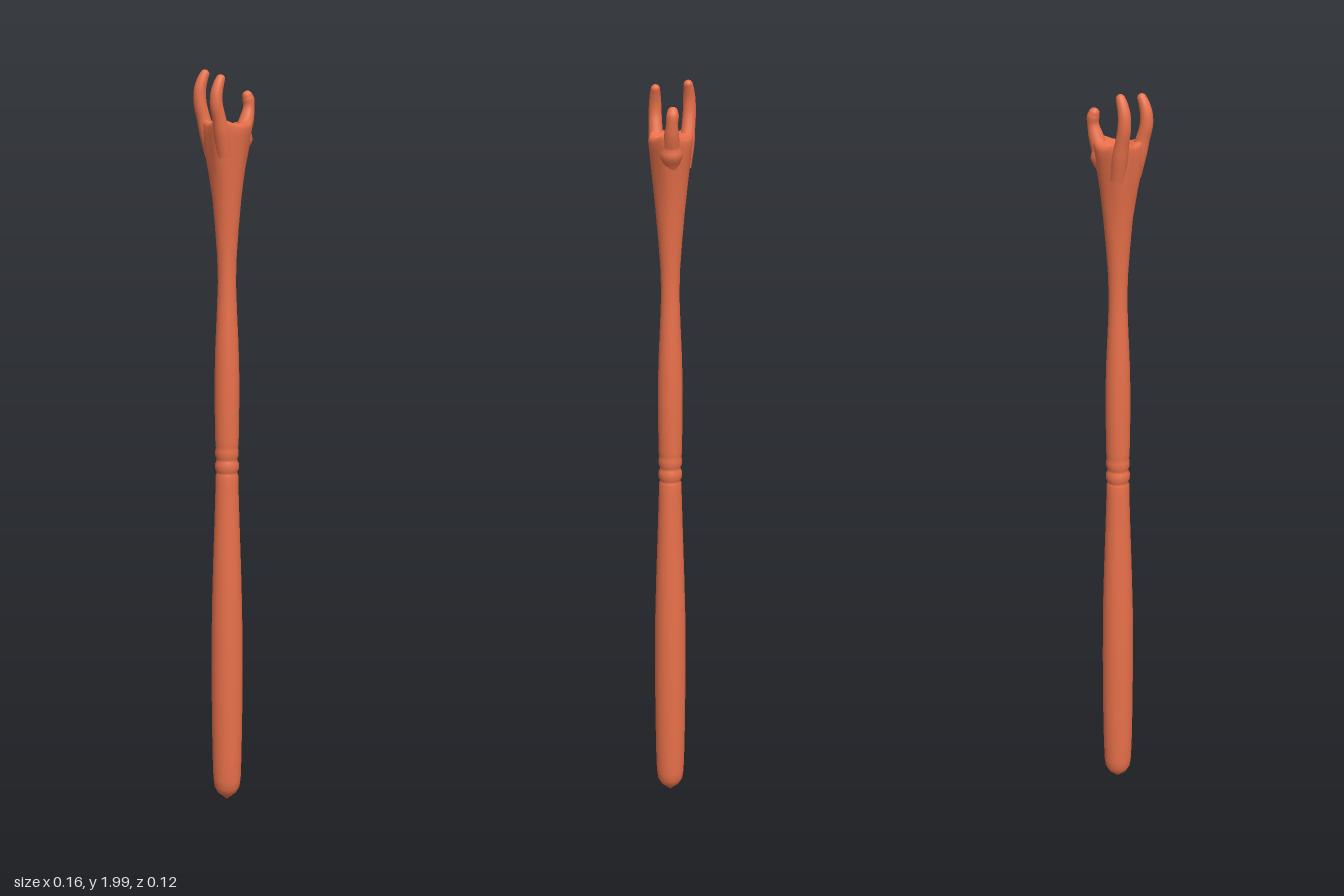
import * as THREE from 'three';

const material = new THREE.MeshStandardMaterial({ color: 0xe8704a });

// Smooth skin over closed rings of points; each ring is an array of Vector3
function loft(rings) {
  const n = rings[0].length, index = [];
  for (let i = 0; i < rings.length - 1; i++) {
    for (let j = 0; j < n; j++) {
      const a = i * n + j, b = i * n + (j + 1) % n;
      index.push(a, a + n, b, b, a + n, b + n);
    }
  }
  const geometry = new THREE.BufferGeometry().setFromPoints(rings.flat());
  geometry.setIndex(index);
  geometry.computeVertexNormals();
  return geometry;
}

// Directions of the three prongs round the head
const lobes = [0, Math.PI * 0.77, -Math.PI * 0.77];
const lobeAt = a => lobes.reduce((s, l) => s + Math.pow(Math.max(0, Math.cos(a - l)), 8), 0);

// Rod profile, [radius, height], from the foot to the centre of the cup
const profile = [
  [0.001, 0.008], [0.013, 0.018], [0.026, 0.029], [0.035, 0.046], [0.038, 0.07], [0.04, 0.13], [0.042, 0.25],
  [0.0425, 0.4], [0.0415, 0.55], [0.038, 0.68], [0.034, 0.8], [0.031, 0.9],
  [0.031, 0.928], [0.028, 0.934], [0.028, 0.94], [0.032, 0.947], [0.032, 0.962], [0.028, 0.969],
  [0.028, 0.976], [0.0315, 0.983], [0.0315, 0.998], [0.0295, 1.004], [0.031, 1.011], [0.0315, 1.025],
  [0.033, 1.12], [0.033, 1.2], [0.031, 1.28], [0.027, 1.37], [0.024, 1.45], [0.026, 1.52],
  [0.031, 1.59], [0.038, 1.67], [0.045, 1.74], [0.05, 1.79], [0.054, 1.83], [0.056, 1.85],
  [0.053, 1.86], [0.046, 1.862], [0.032, 1.856], [0.016, 1.852], [0.001, 1.85],
];

function rod() {
  const sides = 48;
  return loft(profile.map(([r, y], i) => Array.from({ length: sides }, (_, j) => {
    const a = j / sides * Math.PI * 2;
    // The head swells outward and upward into the prongs
    const swell = THREE.MathUtils.smoothstep(y, 1.66, 1.85) * lobeAt(a) * Math.min(1, r / 0.05);
    const radius = r + 0.013 * swell;
    const lift = i > 33 ? 0.014 * swell : 0;
    const shift = -0.007 * (1 - THREE.MathUtils.smoothstep(y, 1.75, 1.86) * 0.5);
    return new THREE.Vector3(shift + radius * Math.cos(a), y + lift, -radius * Math.sin(a));
  })));
}

// Tapered hook along a path of [x, y, z, radius], with a rounded tip
function prong(path) {
  const steps = 28, sides = 16;
  const curve = new THREE.CatmullRomCurve3(path.map(p => new THREE.Vector3(p[0], p[1], p[2])));
  const radii = new THREE.CatmullRomCurve3(path.map(p => new THREE.Vector3(p[3], 0, 0)));
  const ring = (c, tangent, r) => {
    const side = new THREE.Vector3(0, 0, 1).addScaledVector(tangent, -tangent.z).normalize();
    const out = new THREE.Vector3().crossVectors(tangent, side);
    return Array.from({ length: sides }, (_, j) => {
      const a = -j / sides * Math.PI * 2;
      return c.clone().addScaledVector(side, r * Math.cos(a)).addScaledVector(out, -r * Math.sin(a));
    });
  };
  const rings = [];
  for (let i = 0; i <= steps; i++) {
    const t = i / steps;
    rings.push(ring(curve.getPoint(t), curve.getTangent(t), radii.getPoint(t).x));
  }
  const end = curve.getPoint(1), dir = curve.getTangent(1), r = path[path.length - 1][3];
  for (let k = 1; k <= 6; k++) {
    const a = k / 6 * Math.PI / 2;
    rings.push(ring(end.clone().addScaledVector(dir, r * Math.sin(a)), dir, Math.max(0.0003, r * Math.cos(a))));
  }
  // Rings run the other way round from the rod, so reverse them to face outward
  return loft(rings.map(loop => loop.reverse()));
}

export function createModel() {
  const group = new THREE.Group();
  const add = (name, geometry) => {
    // Turn any inside-out skin by the sign of its volume
    const p = geometry.attributes.position, ix = geometry.index.array;
    const [a, b, c] = [0, 1, 2].map(() => new THREE.Vector3());
    let volume = 0;
    for (let i = 0; i < ix.length; i += 3) {
      a.fromBufferAttribute(p, ix[i]);
      b.fromBufferAttribute(p, ix[i + 1]);
      c.fromBufferAttribute(p, ix[i + 2]);
      volume += a.dot(b.cross(c));
    }
    if (volume < 0) {
      for (let i = 0; i < ix.length; i += 3) [ix[i], ix[i + 1]] = [ix[i + 1], ix[i]];
      geometry.computeVertexNormals();
    }
    const mesh = new THREE.Mesh(geometry, material);
    mesh.name = name;
    group.add(mesh);
  };

  add('rod', rod());

  // Short prong on the left, hooked inward
  add('shortProng', prong([
    [0.03, 1.79, -0.004, 0.022], [0.045, 1.84, -0.007, 0.022], [0.058, 1.875, -0.009, 0.019],
    [0.065, 1.905, -0.011, 0.015], [0.064, 1.922, -0.012, 0.016], [0.061, 1.932, -0.012, 0.014],
  ]));

  // Two tall prongs on the right, front and back
  for (const [name, s, drop] of [['frontProng', 1, 0.012], ['backProng', -1, 0]]) {
    add(name, prong([
      [-0.032, 1.78, s * 0.032, 0.02], [-0.043, 1.835, s * 0.038, 0.021], [-0.053, 1.875, s * 0.042, 0.018],
      [-0.062, 1.915 - drop * 0.5, s * 0.044, 0.017], [-0.062, 1.95 - drop, s * 0.044, 0.016],
      [-0.055, 1.975 - drop, s * 0.043, 0.014], [-0.049, 1.988 - drop, s * 0.042, 0.012],
    ]));
  }
  return group;
}
